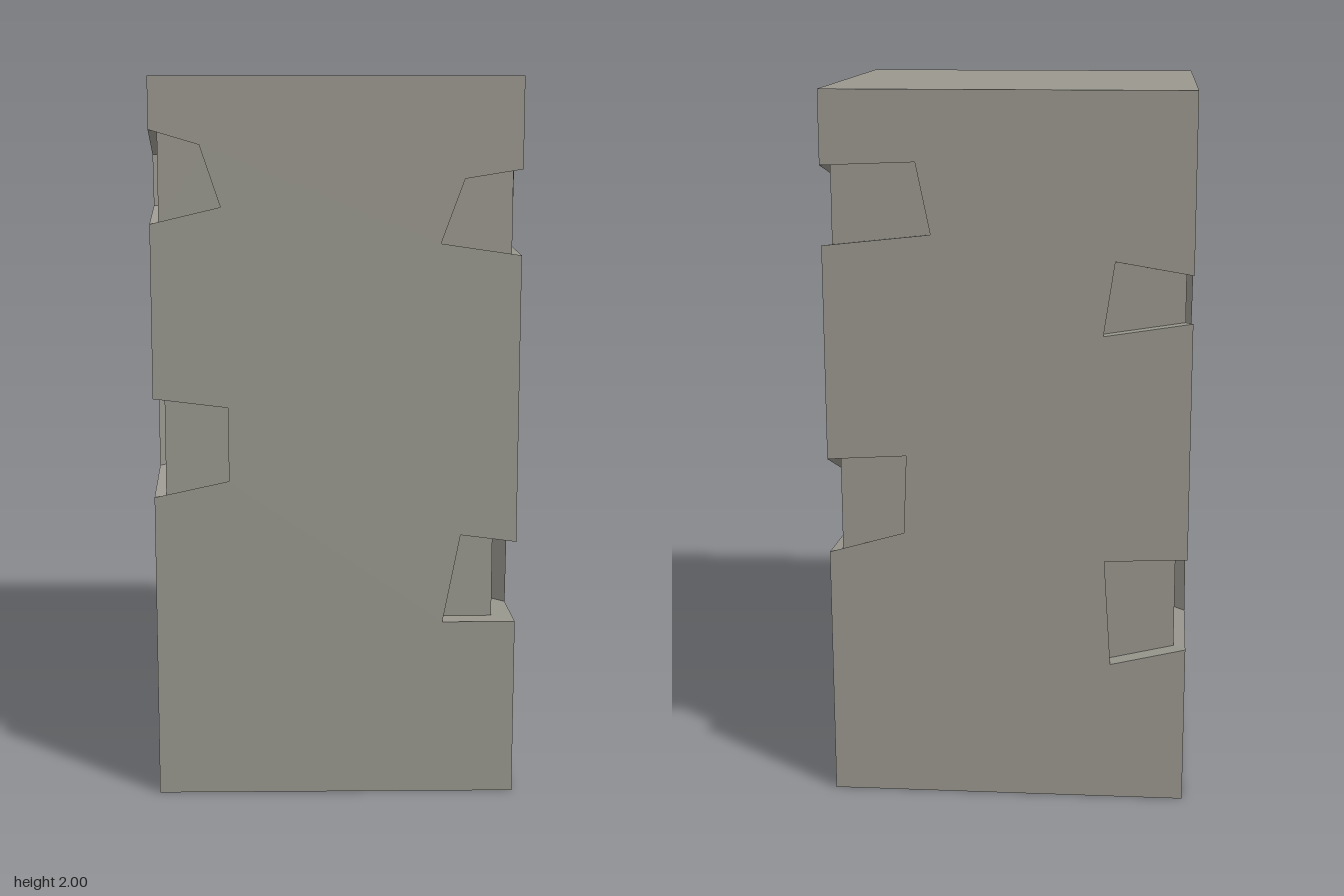
import * as THREE from 'three';

const H = 0.5, HEIGHT = 2;

// Corner chips, listed by corner going round from front/+x, lower chip first.
// d: depth, c: bottom and top height on the corner edge,
// a / b: [reach, height] at bottom and top on the faces before / after the corner.
const CHIPS = [
  [
    { d: 0.06, c: [0.5, 0.73], a: [[0.203, 0.5], [0.155, 0.75]], b: [[0.245, 0.485], [0.23, 0.725]] },
    { d: 0.024, c: [1.525, 1.755], a: [[0.218, 1.557], [0.155, 1.73]], b: [[0.23, 1.53], [0.21, 1.765]] },
  ],
  [
    { d: 0.032, c: [0.72, 0.99], a: [[0.275, 0.695], [0.26, 0.885]], b: [[0.21, 0.78], [0.22, 1.003]] },
    { d: 0.025, c: [1.585, 1.8], a: [[0.238, 1.545], [0.21, 1.75]], b: [[0.295, 1.617], [0.256, 1.81]] },
  ],
  [
    { d: 0.033, c: [0.455, 0.72], a: [[0.21, 0.405], [0.23, 0.71]], b: [[0.222, 0.49], [0.255, 0.68]] },
    { d: 0.02, c: [1.385, 1.515], a: [[0.24, 1.347], [0.21, 1.55]], b: [[0.21, 1.32], [0.155, 1.49]] },
  ],
  [
    { d: 0.03, c: [0.86, 1.135], a: [[0.205, 0.907], [0.2, 1.11]], b: [[0.205, 0.905], [0.205, 1.11]] },
    { d: 0.022, c: [1.61, 1.86], a: [[0.155, 1.65], [0.14, 1.79]], b: [[0.19, 1.655], [0.135, 1.82]] },
  ],
];

// Flat side with the chip outlines cut out of both vertical edges
function sideGeometry(leftChips, rightChips) {
  const pts = [[-H, 0], [H, 0]];
  for (const { c, a } of rightChips) {
    pts.push([H, c[0]], [H - a[0][0], a[0][1]], [H - a[1][0], a[1][1]], [H, c[1]]);
  }
  pts.push([H, HEIGHT], [-H, HEIGHT]);
  for (const { c, b } of [...leftChips].reverse()) {
    pts.push([-H, c[1]], [b[1][0] - H, b[1][1]], [b[0][0] - H, b[0][1]], [-H, c[0]]);
  }
  const shape = new THREE.Shape(pts.map(([x, y]) => new THREE.Vector2(x, y)));
  return new THREE.ShapeGeometry(shape).translate(0, 0, H);
}

// Recess wrapping round the corner: its outline pushed inwards along the diagonal
function chipGeometry({ d, c, a, b }) {
  const level = (i) => {
    const [ua, ya] = a[i], [vb, yb] = b[i];
    const outer = [[H, c[i], H], [H - ua, ya, H], [H, yb, H - vb]];
    const [ci, ai, bi] = outer.map(([x, y, z]) => [x - d, y, z - d]);
    const [co, ao, bo] = outer;
    return [co, ao, ai, ci, bi, bo];
  };
  const lo = level(0), hi = level(1), pos = [];
  const quad = (p, q, r, s) => pos.push(...p, ...q, ...r, ...p, ...r, ...s);
  // Ceiling, floor, then the upright walls
  quad(hi[0], hi[1], hi[2], hi[3]);
  quad(hi[0], hi[3], hi[4], hi[5]);
  quad(lo[3], lo[2], lo[1], lo[0]);
  quad(lo[5], lo[4], lo[3], lo[0]);
  for (let i = 1; i < 5; i++) quad(lo[i], lo[i + 1], hi[i + 1], hi[i]);
  const geo = new THREE.BufferGeometry();
  geo.setAttribute('position', new THREE.Float32BufferAttribute(pos, 3));
  geo.computeVertexNormals();
  return geo;
}

export function createModel() {
  const group = new THREE.Group();
  group.name = 'chippedPillar';
  const material = new THREE.MeshStandardMaterial({ color: 0x98968d, flatShading: true });
  const add = (name, geometry) => {
    const mesh = new THREE.Mesh(geometry, material);
    mesh.name = name;
    group.add(mesh);
    return mesh;
  };

  // Four sides and the chips on the corner following each side
  const sides = ['front', 'left', 'back', 'right'];
  sides.forEach((side, k) => {
    const turn = (k * Math.PI) / 2;
    add(side + 'Side', sideGeometry(CHIPS[(k + 3) % 4], CHIPS[k])).rotation.y = turn;
    CHIPS[k].forEach((chip, i) => {
      add(`${side}${i ? 'Upper' : 'Lower'}CornerChip`, chipGeometry(chip)).rotation.y = turn;
    });
  });

  // Top and bottom
  add('top', new THREE.PlaneGeometry(1, 1).rotateX(-Math.PI / 2).translate(0, HEIGHT, 0));
  add('bottom', new THREE.PlaneGeometry(1, 1).rotateX(Math.PI / 2));
  return group;
}
